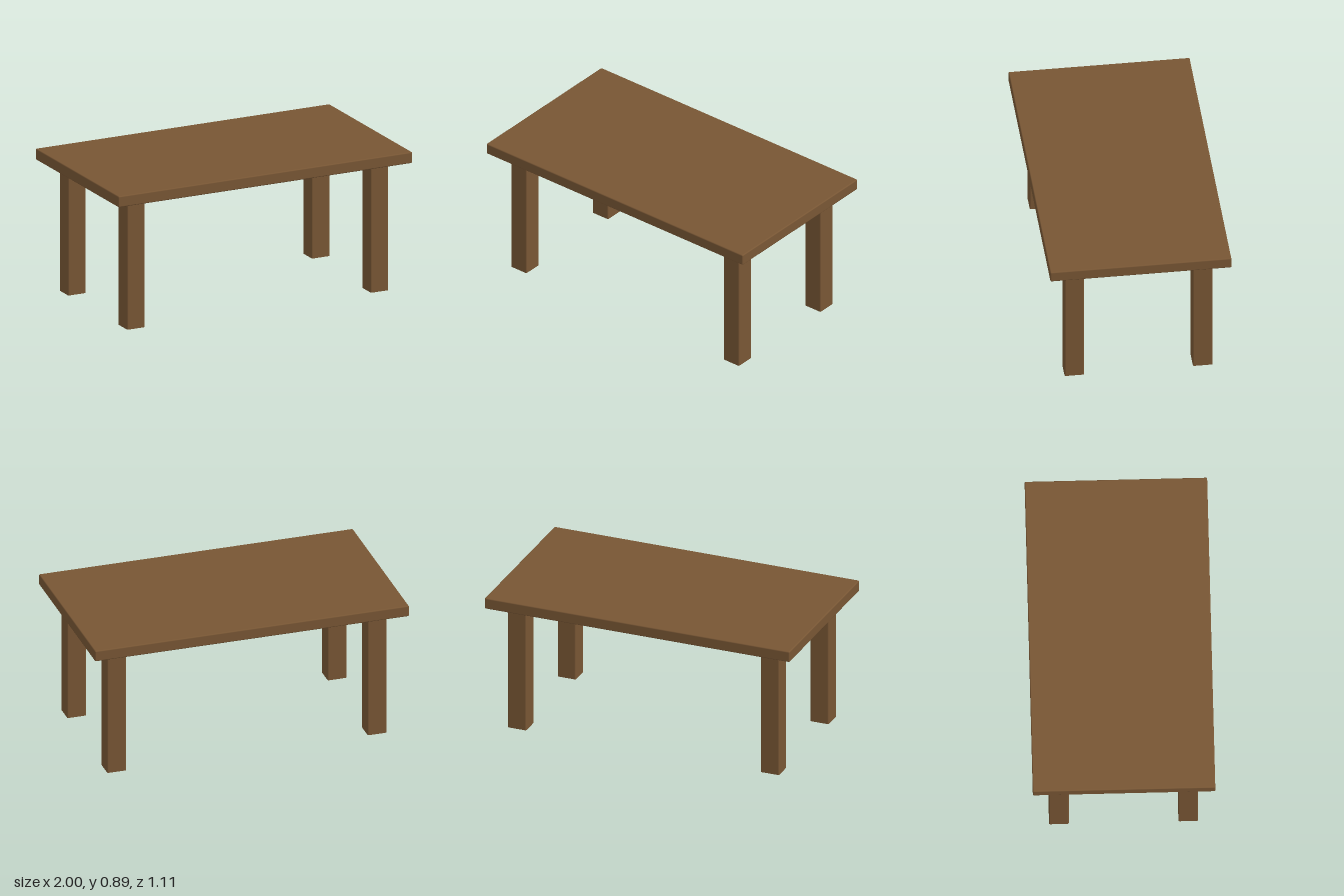
import * as THREE from 'three';
import { RoundedBoxGeometry } from 'three/addons/geometries/RoundedBoxGeometry.js';

const TOP_Y = 0.888, THICKNESS = 0.07, LEG = 0.12, EASE = 0.007;

// Square leg with eased vertical edges and flat ends, standing on y = 0
function legGeometry(height) {
  const h = LEG / 2, c = h - EASE;
  const section = new THREE.Shape();
  section.moveTo(c, -h);
  section.absarc(c, -c, EASE, -Math.PI / 2, 0);
  section.absarc(c, c, EASE, 0, Math.PI / 2);
  section.absarc(-c, c, EASE, Math.PI / 2, Math.PI);
  section.absarc(-c, -c, EASE, Math.PI, Math.PI * 1.5);
  const geometry = new THREE.ExtrudeGeometry(section, { depth: height, bevelEnabled: false, curveSegments: 2 });
  return geometry.rotateX(-Math.PI / 2);
}

export function createModel() {
  const table = new THREE.Group();
  table.name = 'table';
  const wood = new THREE.MeshStandardMaterial({ color: 0x785634 });
  wood.name = 'brown wood';

  // Table top slab with softened edges
  const top = new THREE.Mesh(new RoundedBoxGeometry(2, THICKNESS, 1.106, 2, EASE), wood);
  top.name = 'tableTop';
  top.position.y = TOP_Y - THICKNESS / 2;
  table.add(top);

  // Four legs, inset from the corners
  const legShape = legGeometry(TOP_Y - THICKNESS);
  for (const [side, x] of [['Left', 0.829], ['Right', -0.829]]) {
    for (const [end, z] of [['front', 0.392], ['back', -0.392]]) {
      const leg = new THREE.Mesh(legShape, wood);
      leg.name = `${end}${side}Leg`;
      leg.position.set(x, 0, z);
      table.add(leg);
    }
  }
  return table;
}
